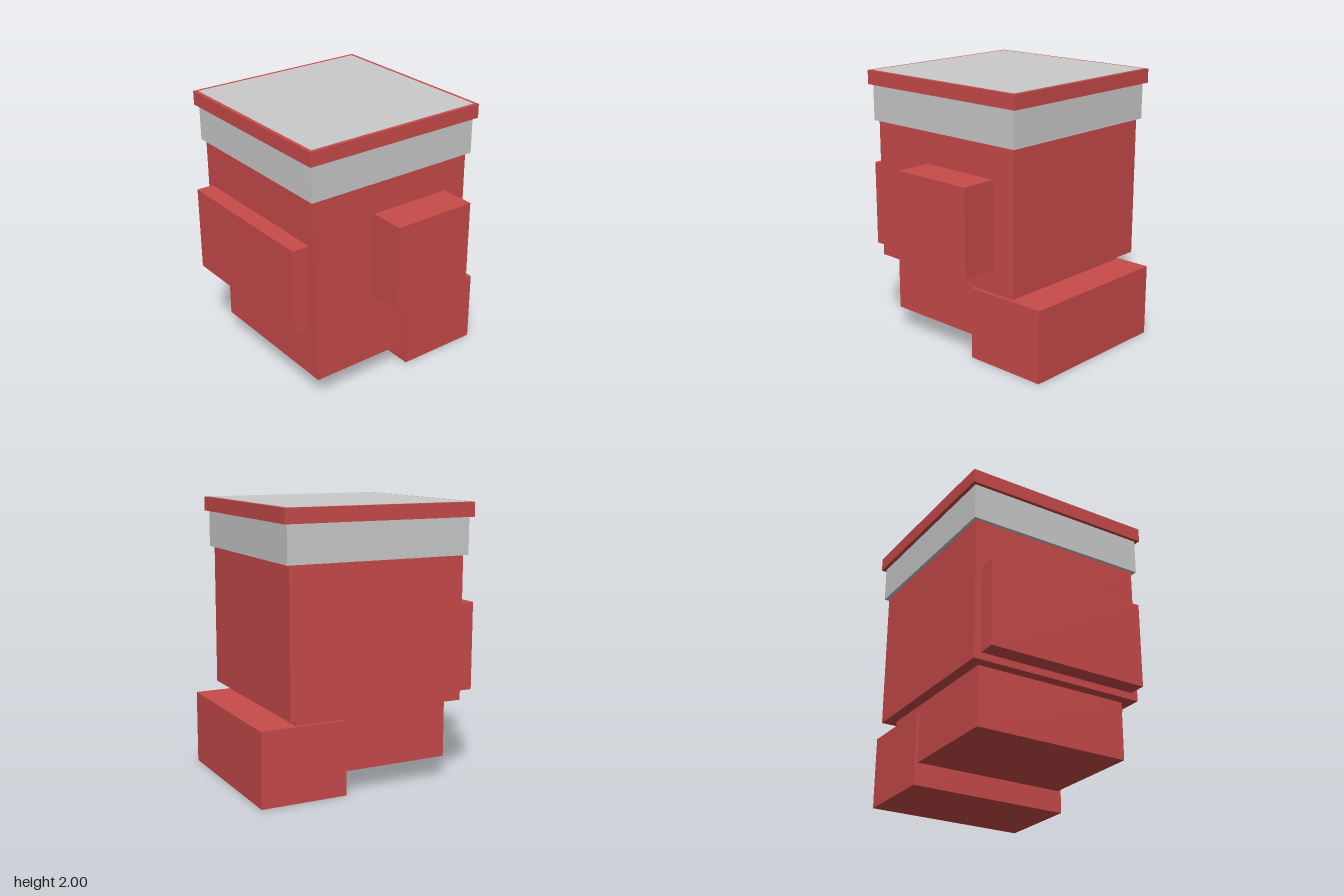
import * as THREE from 'three';

export function createModel() {
  const model = new THREE.Group();
  const red = new THREE.MeshStandardMaterial({ name: 'red', color: 0xc84a4a });
  const grey = new THREE.MeshStandardMaterial({ name: 'lightGrey', color: 0xcacaca });

  // Box given by its extents along each axis
  const box = (name, material, [x0, x1], [y0, y1], [z0, z1]) => {
    const mesh = new THREE.Mesh(new THREE.BoxGeometry(x1 - x0, y1 - y0, z1 - z0), material);
    mesh.name = name;
    mesh.position.set((x0 + x1) / 2, (y0 + y1) / 2, (z0 + z1) / 2);
    model.add(mesh);
  };

  // Stacked body
  box('base', red, [-0.694, 0.477], [0.165, 0.593], [-0.558, 0.614]);
  box('body', red, [-0.774, 0.557], [0.593, 1.63], [-0.638, 0.694]);
  box('band', grey, [-0.8, 0.584], [1.63, 1.895], [-0.665, 0.72]);
  box('lid', red, [-0.827, 0.61], [1.895, 1.998], [-0.692, 0.746]);
  box('lidPanel', grey, [-0.8, 0.584], [1.995, 2], [-0.665, 0.72]);

  // Attached blocks
  box('frontBlock', red, [-0.72, 0.503], [0.644, 1.282], [0.694, 0.825]);
  box('leftBlock', red, [0.557, 0.825], [0.75, 1.388], [-0.452, 0.186]);
  box('rearBlock', red, [-0.72, 0.503], [0, 0.536], [-0.825, -0.187]);

  return model;
}
